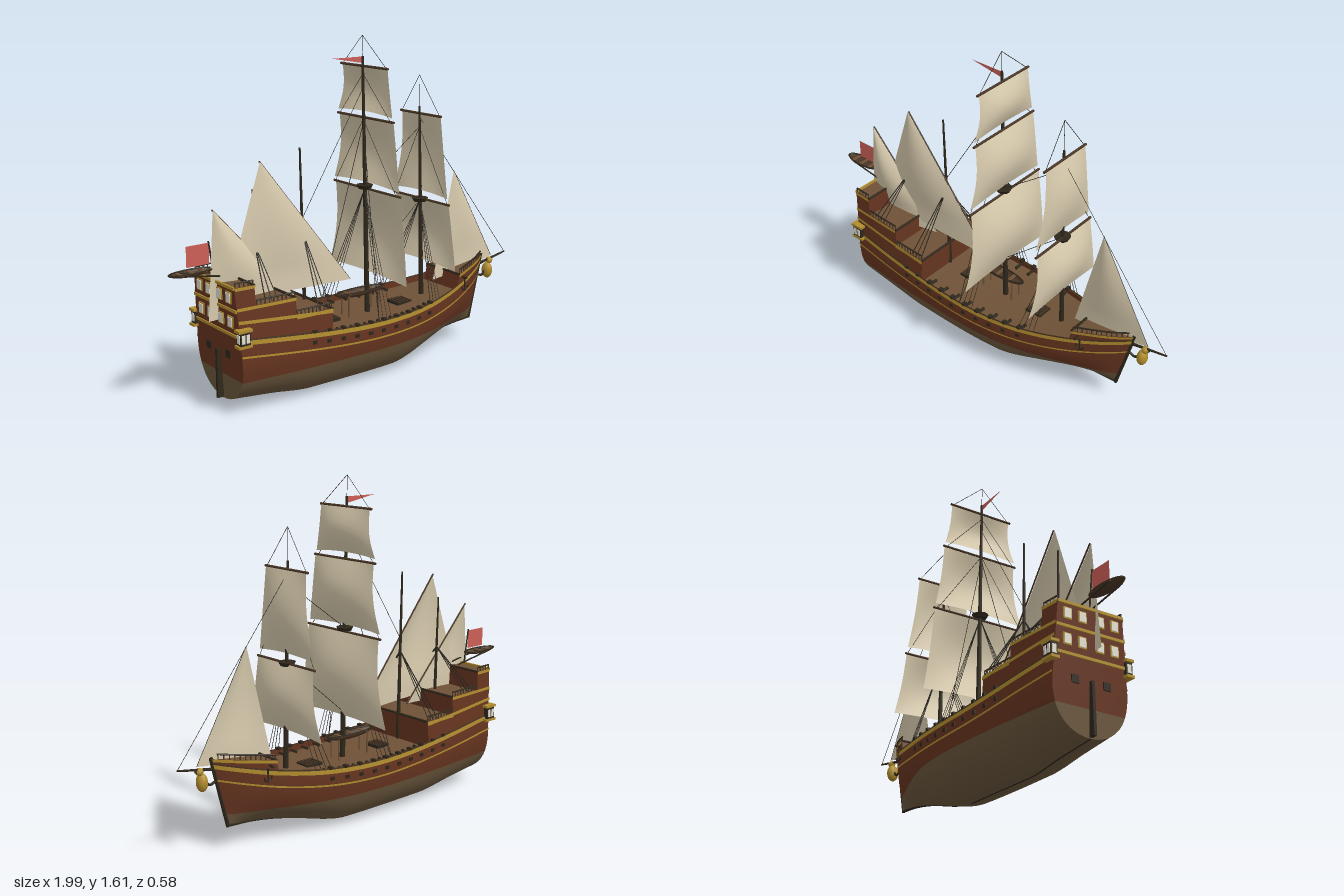
import * as THREE from 'three';

const paint = (name, color, side = THREE.FrontSide) => {
  const m = new THREE.MeshStandardMaterial({ color, side });
  m.name = name;
  return m;
};
const both = THREE.DoubleSide;

// Smooth interpolation through a short table of [x, value] pairs
function curve(tab, x) {
  let i = 0;
  while (i < tab.length - 2 && x > tab[i + 1][0]) i++;
  const slope = k => {
    const a = tab[Math.max(k - 1, 0)], b = tab[Math.min(k + 1, tab.length - 1)];
    return (b[1] - a[1]) / (b[0] - a[0]);
  };
  const [x0, y0] = tab[i], [x1, y1] = tab[i + 1], h = x1 - x0;
  const t = THREE.MathUtils.clamp((x - x0) / h, 0, 1), t2 = t * t, t3 = t2 * t;
  return (2 * t3 - 3 * t2 + 1) * y0 + (t3 - 2 * t2 + t) * h * slope(i) + (3 * t2 - 2 * t3) * y1 + (t3 - t2) * h * slope(i + 1);
}

// Hull lines
const STERN = -0.766, BOW = 0.79;
const BEAM = [[STERN, 0.188], [-0.5, 0.208], [-0.1, 0.224], [0.1, 0.219], [0.3, 0.192], [0.5, 0.14], [0.65, 0.085], [0.74, 0.04], [BOW, 0.004]];
const KEEL = [[STERN, 0.05], [-0.55, 0.028], [-0.35, 0.002], [0, 0.002], [0.2, 0.004], [0.4, 0.05], [0.6, 0.095], [BOW, 0.11]];
const SHEER = [[STERN, 0.37], [-0.3, 0.325], [0, 0.312], [0.3, 0.322], [0.54, 0.355], [BOW, 0.415]];
const keel = x => Math.max(0.002, curve(KEEL, x));
const sheer = x => curve(SHEER, x);
function halfWidth(x, y) {
  const u = (x - STERN) / (BOW - STERN), k = keel(x);
  const s = THREE.MathUtils.clamp((y - k) / (0.27 - k), 0, 1);
  const q = THREE.MathUtils.lerp(0.5, 1, THREE.MathUtils.smoothstep(u, 0.6, 1));
  return curve(BEAM, x) * Math.pow(1 - Math.pow(1 - s, 2.5), q) * (1 - 0.35 * Math.max(0, y - 0.27));
}
function hullX(x, y) {
  const xs = -0.745 - 0.06 * y, xe = 0.74 + (y - 0.11) * 0.24;
  return xs + (x - STERN) / (BOW - STERN) * (xe - xs);
}
const hullPoint = (x, y, side, off = 0) => [hullX(x, y), y, side * (halfWidth(x, y) + off)];

// Surface through a grid of points
function grid(f, nu, nv, flip) {
  const p = [], idx = [];
  for (let i = 0; i <= nu; i++) for (let j = 0; j <= nv; j++) p.push(...f(i / nu, j / nv));
  for (let i = 0; i < nu; i++) for (let j = 0; j < nv; j++) {
    const a = i * (nv + 1) + j, b = a + nv + 1;
    idx.push(...(flip ? [a, b + 1, b, a, a + 1, b + 1] : [a, b, b + 1, a, b + 1, a + 1]));
  }
  const g = new THREE.BufferGeometry();
  g.setAttribute('position', new THREE.Float32BufferAttribute(p, 3));
  g.setIndex(idx);
  g.computeVertexNormals();
  return g;
}

export function createModel() {
  const bottomMat = paint('bottom brown', 0x6a563c, both), hullMat = paint('hull red brown', 0x66341f, both);
  const gold = paint('gold', 0xb08c2e, both), deckMat = paint('deck wood', 0x6e5237, both);
  const dark = paint('dark wood', 0x2e271b, both), spar = paint('spar brown', 0x4a3524, both);
  const cloth = paint('sail cloth', 0xd6c9ac, both), red = paint('flag red', 0xcc5f58, both);
  const pane = paint('window pane', 0xe2dfd0), rope = paint('rope', 0x25221c);
  const model = new THREE.Group();
  const add = (name, geo, mat, x = 0, y = 0, z = 0) => {
    const m = new THREE.Mesh(geo, mat);
    m.name = name;
    m.position.set(x, y, z);
    model.add(m);
    return m;
  };
  const box = (name, mat, w, h, d, x, y, z) => add(name, new THREE.BoxGeometry(w, h, d), mat, x, y, z);
  const rod = (name, mat, a, b, r, r2 = r, sides = 6) => {
    const A = new THREE.Vector3(...a), B = new THREE.Vector3(...b), d = B.clone().sub(A);
    const m = add(name, new THREE.CylinderGeometry(r2, r, d.length(), sides), mat);
    m.position.copy(A).addScaledVector(d, 0.5);
    m.quaternion.setFromUnitVectors(new THREE.Vector3(0, 1, 0), d.normalize());
  };
  const line = (a, b, r = 0.0014) => rod('rope', rope, a, b, r, r, 4);
  const tube = (name, mat, pts, r) => add(name, new THREE.TubeGeometry(new THREE.CatmullRomCurve3(pts.map(p => new THREE.Vector3(...p))), 40, r, 6), mat);

  // Planking strips on both sides between two height rules
  const planks = (name, mat, x0, x1, lo, hi, off = 0, pow = 1) => {
    const n = Math.max(4, Math.round((x1 - x0) * 36));
    for (const s of [1, -1]) add(name, grid((i, j) => {
      const x = x0 + (x1 - x0) * i;
      return hullPoint(x, lo(x) + (hi(x) - lo(x)) * Math.pow(j, pow), s, off);
    }, n, pow > 1 ? 14 : 4, s < 0), mat);
  };
  const deck = (name, x0, x1, h) => add(name, grid((i, j) => {
    const x = x0 + (x1 - x0) * i, p = hullPoint(x, h(x), 1);
    return [p[0], p[1], p[2] * (1 - 2 * j)];
  }, 24, 2), deckMat);
  const wall = (name, mat, x, y0, y1, flip) => add(name, grid((i, j) => {
    const p = hullPoint(x, y0 + (y1 - y0) * j, 1);
    return [p[0], p[1], p[2] * (2 * i - 1)];
  }, 6, 14, flip), mat);
  const railing = (x0, x1, top, h) => {
    const n = Math.round((x1 - x0) / 0.02);
    for (const s of [1, -1]) {
      for (let i = 0; i <= n; i++) {
        const x = x0 + (x1 - x0) * i / n, p = hullPoint(x, top(x), s, -0.003);
        rod('railing post', spar, p, [p[0], p[1] + h, p[2]], 0.003);
      }
      tube('railing', dark, [0, 0.33, 0.67, 1].map(t => hullPoint(x0 + (x1 - x0) * t, top(x0 + (x1 - x0) * t) + h, s, -0.003)), 0.004);
    }
  };

  // Hull shell, wales and keel
  const water = () => 0.17;
  planks('lower hull', bottomMat, STERN, BOW, keel, water, 0, 2);
  planks('upper hull', hullMat, STERN, BOW, water, sheer);
  planks('sheer band', gold, STERN, BOW, x => sheer(x) - 0.022, x => sheer(x) - 0.002, 0.005);
  planks('lower stripe', gold, STERN, BOW, x => sheer(x) - 0.082, x => sheer(x) - 0.073, 0.004);
  planks('rub rail', spar, STERN, BOW, x => sheer(x) - 0.002, x => sheer(x) + 0.006, 0.004);
  wall('lower transom', bottomMat, STERN, 0.051, 0.17);
  wall('upper transom', hullMat, STERN, 0.17, 0.6);
  const keelLine = [];
  for (let i = 0; i <= 12; i++) { const x = STERN + (BOW - STERN) * i / 12; keelLine.push([hullX(x, keel(x)), keel(x) + 0.005, 0]); }
  tube('keel', dark, keelLine, 0.007);
  rod('stem', dark, [0.738, 0.11, 0], [0.82, 0.445, 0], 0.009);
  box('rudder', dark, 0.03, 0.23, 0.014, -0.765, 0.17, 0);

  // Decks and stepped castles
  deck('main deck', -0.3, 0.54, x => sheer(x) - 0.03);
  const foreTop = x => 0.405 + (x - 0.54) * 0.14;
  const castles = [[-0.766, -0.675, () => 0.6, 0.02], [-0.675, -0.485, () => 0.51, 0.022], [-0.485, -0.3, () => 0.425, 0.024], [0.54, BOW, foreTop, 0.024]];
  for (const [x0, x1, top, h] of castles) {
    planks('castle side', hullMat, x0, x1, sheer, top);
    planks('castle gold band', gold, x0, x1, x => top(x) - 0.014, top, 0.004);
    deck('castle deck', x0, x1, x => top(x) - 0.008);
    railing(x0 + 0.004, Math.min(x1, 0.77) - 0.004, top, h);
    const fore = x0 > 0, x = fore ? x0 : x1;
    wall('castle bulkhead', hullMat, x, sheer(x) - 0.05, top(x), !fore);
    rod('castle beam', dark, hullPoint(x, top(x), -1), hullPoint(x, top(x), 1), 0.006);
  }
  planks('aft gold band', gold, STERN, -0.3, x => 0.405 - (x + 0.3) * 0.075, x => 0.42 - (x + 0.3) * 0.075, 0.005);
  planks('poop gold band', gold, STERN, -0.485, () => 0.496, () => 0.51, 0.004);

  // Stern windows and ports
  const sternX = y => -0.749 - 0.06 * y;
  for (const y of [0.44, 0.55]) for (const z of [-0.12, -0.045, 0.045, 0.12]) {
    box('stern window frame', gold, 0.005, 0.052, 0.042, sternX(y), y, z);
    box('stern window', pane, 0.005, 0.042, 0.032, sternX(y) - 0.003, y, z);
  }
  for (const y of [0.38, 0.495, 0.597]) box('stern band', gold, 0.009, 0.013, 2 * halfWidth(STERN, y), sternX(y) + 0.002, y, 0);
  for (const s of [1, -1]) {
    box('stern port', dark, 0.006, 0.035, 0.035, sternX(0.28), 0.28, s * 0.08);
    // Quarter galleries
    box('gallery', dark, 0.05, 0.06, 0.034, -0.755, 0.38, s * 0.19);
    for (const y of [0.345, 0.415]) box('gallery trim', gold, 0.068, 0.012, 0.04, -0.755, y, s * 0.19);
    for (const x of [-0.767, -0.743]) box('gallery window', pane, 0.016, 0.038, 0.004, x, 0.38, s * 0.208);
    box('gallery end window', pane, 0.004, 0.038, 0.02, -0.781, 0.38, s * 0.19);
    // Gun ports and rail guns
    for (let x = -0.4; x < 0.36; x += 0.078) {
      const p = hullPoint(x, sheer(x) - 0.045, s), q = hullPoint(x, sheer(x) + 0.006, s);
      box('gun port', dark, 0.02, 0.016, 0.01, ...p);
      box('rail block', dark, 0.018, 0.012, 0.022, ...q);
      if (x > -0.26) rod('deck gun', dark, [q[0], sheer(x) - 0.014, q[2] - s * 0.05], [q[0], sheer(x) - 0.014, q[2] - s * 0.005], 0.008, 0.006);
    }
    // Anchors
    const a = hullPoint(0.6, 0.32, s, 0.012);
    rod('anchor shank', dark, a, [a[0], 0.375, a[2]], 0.004);
    add('anchor flukes', new THREE.TorusGeometry(0.02, 0.004, 5, 12, Math.PI), dark, a[0], 0.335, a[2]).rotation.z = Math.PI;
    rod('cathead', dark, [0.58, 0.385, s * 0.08], [0.59, 0.385, s * 0.14], 0.006);
  }

  // Deck fittings
  for (const [x, w] of [[0.27, 0.09], [-0.16, 0.07]]) {
    box('hatch', dark, w, 0.014, 0.08, x, 0.293, 0);
    for (let i = -2; i <= 2; i++) box('hatch bar', spar, 0.006, 0.004, 0.08, x + i * w / 5, 0.302, 0);
  }
  const boat = (name, x, y, z, len, h, w) => {
    const hull = add(name, new THREE.SphereGeometry(1, 24, 8, 0, Math.PI * 2, Math.PI / 2, Math.PI / 2), spar, x, y, z);
    hull.scale.set(len / 2, h, w / 2);
    const rim = add(name + ' rim', new THREE.TorusGeometry(1, 0.06, 5, 28), dark, x, y, z);
    rim.rotation.x = Math.PI / 2;
    rim.scale.set(len / 2 * 0.95, w / 2 * 0.95, 0.06);
    for (const t of [-0.25, 0, 0.25]) box(name + ' seat', deckMat, 0.016, 0.004, w * 0.85, x + t * len, y - 0.004, z);
  };
  boat('deck boat', 0.025, 0.397, -0.008, 0.29, 0.03, 0.07);
  for (const x of [-0.06, 0.12]) for (const z of [-0.035, 0.02]) rod('boat stand', deckMat, [x, 0.28, z], [x, 0.385, z], 0.004);
  boat('stern boat', -0.89, 0.655, 0, 0.22, 0.02, 0.075);
  for (const z of [-0.03, 0.03]) rod('davit', dark, [-0.7, 0.61, z], [-0.94, 0.65, z], 0.004);

  // Masts, spars and tops
  const mast = (name, xb, yb, xt, yt, r) => rod(name, dark, [xb, yb, 0], [xt, yt, 0], r, r * 0.45, 8);
  mast('main mast', 0.067, 0.28, 0.036, 1.51, 0.013);
  mast('fore mast', 0.412, 0.28, 0.384, 1.25, 0.012);
  mast('mizzen mast', -0.3, 0.28, -0.32, 1.125, 0.01);
  mast('after mast', -0.56, 0.5, -0.575, 0.97, 0.008);
  rod('bowsprit', dark, [0.74, 0.378, 0], [0.992, 0.425, 0], 0.009, 0.004);
  for (const [x, y] of [[0.05, 0.9], [0.395, 0.79]]) add('fighting top', new THREE.CylinderGeometry(0.04, 0.03, 0.018, 12), dark, x, y, 0);

  // Square sails with their yards
  const squareSail = (x, y0, y1, w0, w1, belly) => {
    add('square sail', grid((i, j) => {
      const s = 2 * i - 1, b = Math.sin(Math.PI * j);
      return [x + belly * b * (1 - 0.75 * s * s) + 0.012, y0 + (y1 - y0) * j + 0.012 * (1 - s * s) * (1 - j), (w0 + (w1 - w0) * j - 0.012 * b) * s];
    }, 16, 14, true), cloth);
    rod('yard', spar, [x + 0.008, y1 + 0.004, -w1 - 0.008], [x + 0.008, y1 + 0.004, w1 + 0.008], 0.006);
  };
  squareSail(0.052, 0.475, 0.885, 0.292, 0.242, 0.055);
  squareSail(0.044, 0.91, 1.222, 0.242, 0.2, 0.045);
  squareSail(0.036, 1.245, 1.46, 0.2, 0.165, 0.034);
  squareSail(0.395, 0.475, 0.79, 0.25, 0.195, 0.045);
  squareSail(0.384, 0.825, 1.21, 0.195, 0.14, 0.04);

  // Triangular sails
  const triSail = (name, peak, tack, clew, z, belly) => add(name, grid((i, j) => {
    const t = 1 - j, mix = k => peak[k] + (clew[k] + (tack[k] - clew[k]) * i - peak[k]) * t;
    return [mix(0), mix(1), z + belly * Math.sin(Math.PI * i) * Math.sin(Math.PI * Math.min(t, 0.85))];
  }, 12, 14), cloth);
  triSail('mizzen sail', [-0.54, 1.09], [-0.045, 0.468], [-0.735, 0.5], 0.012, 0.03);
  triSail('after sail', [-0.785, 0.91], [-0.37, 0.455], [-0.82, 0.42], 0.016, 0.04);
  triSail('jib', [0.618, 0.905], [0.893, 0.42], [0.488, 0.36], 0, 0.018);
  rod('mizzen yard', spar, [-0.54, 1.09, 0.006], [-0.045, 0.468, 0.006], 0.004);
  rod('after yard', spar, [-0.785, 0.91, 0.01], [-0.37, 0.455, 0.01], 0.004);

  // Shrouds and stays
  for (const s of [1, -1]) {
    for (const [mx, top, foot, n] of [[0.05, 0.89, 0.06, 4], [0.395, 0.79, 0.4, 4]])
      for (let i = 0; i < n; i++) line([mx, top, 0], hullPoint(foot - 0.025 * (i + 1), sheer(foot), s));
    for (const [mx, top, foot, y] of [[-0.31, 0.74, -0.31, 0.43], [-0.567, 0.72, -0.57, 0.515]])
      for (let i = 0; i < 3; i++) line([mx, top, 0], hullPoint(foot - 0.03 * i, y, s), 0.0025);
    line([0.038, 1.43, 0], [0.048, 1.225, s * 0.19]);
    line([0.04, 1.22, 0], [0.05, 0.89, s * 0.23]);
    line([0.034, 1.605, 0], [0.045, 1.46, s * 0.165]);
    line([0.382, 1.4, 0], [0.392, 1.21, s * 0.14]);
    line([0.386, 1.15, 0], [0.4, 0.8, s * 0.19]);
    line([0.04, 1.2, 0], hullPoint(-0.04, 0.32, s));
  }
  line([0.036, 1.5, 0], [0.034, 1.605, 0]);
  line([0.384, 1.24, 0], [0.382, 1.4, 0]);
  line([0.036, 1.36, 0], [-0.31, 0.8, 0]);
  line([0.385, 1.15, 0], [0.045, 0.9, 0]);
  line([0.395, 0.79, 0], [0.07, 0.51, 0]);
  line([0.384, 1.2, 0], [0.99, 0.425, 0]);
  line([0.618, 0.905, 0], [0.893, 0.42, 0]);

  // Flags
  const flag = (name, pts) => add(name, new THREE.ShapeGeometry(new THREE.Shape(pts.map(p => new THREE.Vector2(...p)))), red);
  flag('pennant', [[-0.135, 1.508], [0.036, 1.478], [0.036, 1.508]]);
  flag('ensign', [[-0.912, 0.675], [-0.8, 0.675], [-0.8, 0.768], [-0.912, 0.768]]);
  rod('flag staff', dark, [-0.775, 0.6, 0], [-0.802, 0.775, 0], 0.004);

  // Figurehead and beak
  add('figurehead body', new THREE.SphereGeometry(1, 14, 10), gold, 0.868, 0.345, 0).scale.set(0.025, 0.042, 0.03);
  add('figurehead head', new THREE.SphereGeometry(0.018, 12, 8), gold, 0.88, 0.395, 0);
  tube('beak', dark, [[0.795, 0.335, 0], [0.83, 0.325, 0], [0.86, 0.36, 0], [0.9, 0.4, 0]], 0.006);
  return model;
}
